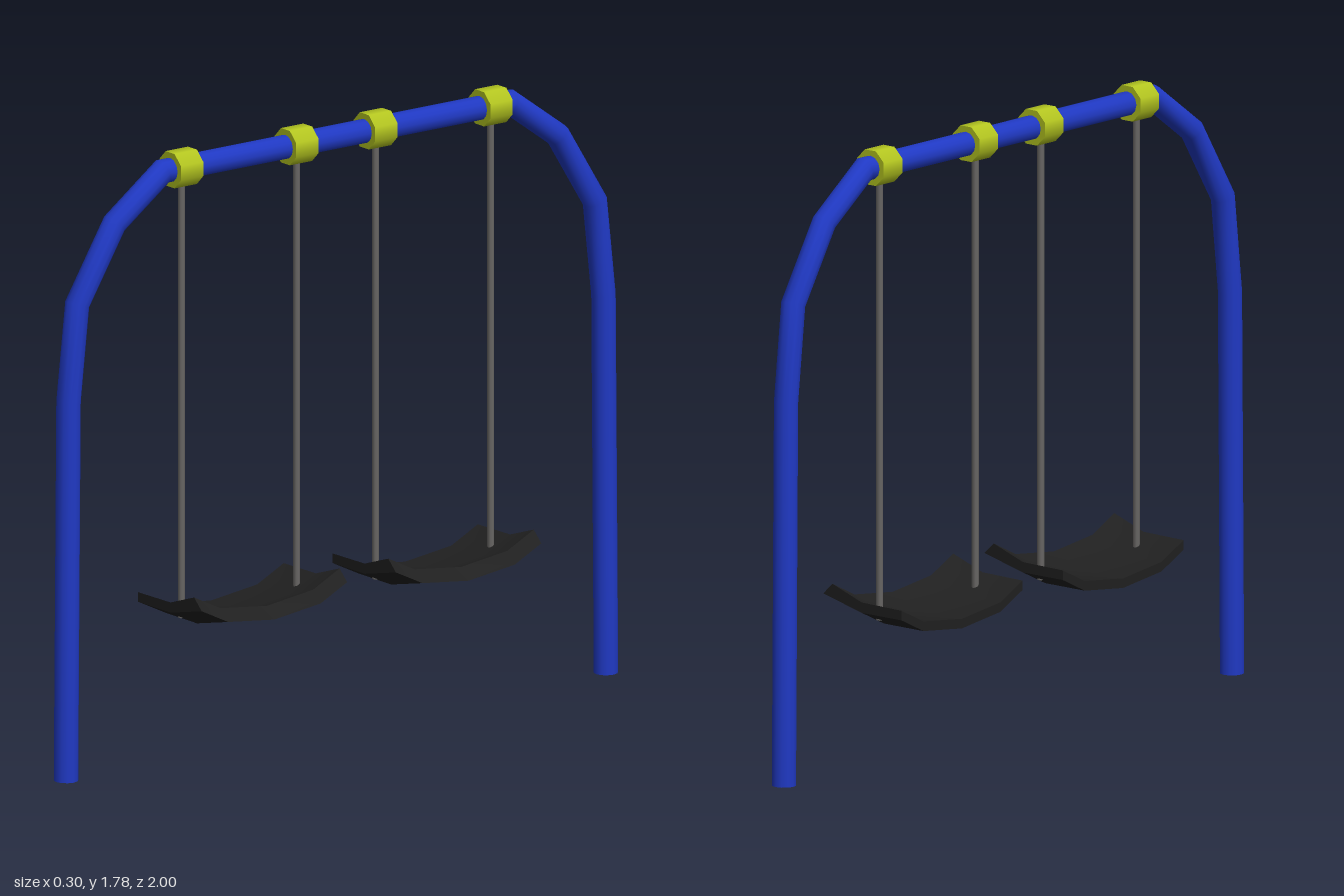
import * as THREE from 'three';
import { toCreasedNormals } from 'three/addons/utils/BufferGeometryUtils.js';

const POLE_X = -0.02;
const BAR_Y = 1.73;

const flat = (name, color) => {
  const m = new THREE.MeshStandardMaterial({ color });
  m.name = name;
  return m;
};

// Closed solid through equal-sized rings of points, counter-clockwise around the direction of travel.
function loft(rings, crease) {
  const n = rings[0].length;
  const last = (rings.length - 1) * n;
  const index = [];
  for (let i = 0; i < rings.length - 1; i++) {
    for (let j = 0; j < n; j++) {
      const k = (j + 1) % n;
      const a = i * n + j, b = i * n + k;
      index.push(a, b, b + n, a, b + n, a + n);
    }
  }
  for (let k = 1; k < n - 1; k++) {
    index.push(0, k + 1, k, last, last + k, last + k + 1);
  }
  const g = new THREE.BufferGeometry();
  g.setAttribute('position', new THREE.Float32BufferAttribute(rings.flat(2), 3));
  g.setIndex(index);
  return toCreasedNormals(g, crease);
}

// Round pipe with mitred bends along a path of [z, y] points.
function pipe(path, radius, sides) {
  const dir = (p, q) => new THREE.Vector2(q[0] - p[0], q[1] - p[1]).normalize();
  const rings = path.map((p, i) => {
    const before = i > 0 ? dir(path[i - 1], p) : dir(p, path[i + 1]);
    const after = i < path.length - 1 ? dir(p, path[i + 1]) : before;
    const t = before.clone().add(after).normalize();
    const stretch = 1 / t.dot(before);
    return Array.from({ length: sides }, (_, j) => {
      const a = (j / sides) * Math.PI * 2;
      const s = Math.sin(a) * radius * stretch;
      return [POLE_X + Math.cos(a) * radius, p[1] + s * t.x, p[0] - s * t.y];
    });
  });
  return loft(rings, 0.9);
}

// Sling seat: side profile with a raised front lip, sagging between its ends.
function seat() {
  const profile = [
    [0, 0.4], [-0.15, 0.398], [-0.15, 0.37],
    [0, 0.37], [0.145, 0.405], [0.11, 0.438],
  ];
  const sag = [[-0.26, 0.067], [-0.165, 0.02], [0, 0], [0.165, 0.02], [0.26, 0.067]];
  return loft(sag.map(([z, lift]) => profile.map(([x, y]) => [x, y + lift, z])), 0.7);
}

export function createModel() {
  const model = new THREE.Group();
  model.name = 'swingSet';

  const blue = flat('blue paint', 0x2039c4);
  const lime = flat('lime clamp', 0xb4c620);
  const grey = flat('grey chain', 0x686664);
  const black = flat('black rubber', 0x202020);

  const add = (parent, name, geometry, material, x = 0, y = 0, z = 0) => {
    const mesh = new THREE.Mesh(geometry, material);
    mesh.name = name;
    mesh.position.set(x, y, z);
    parent.add(mesh);
    return mesh;
  };

  // Arched frame: two legs bending into the top bar
  const half = [[0.965, 0], [0.956, 1.11], [0.925, 1.39], [0.792, 1.605], [0.62, BAR_Y]];
  const path = [...half, ...half.map(([z, y]) => [-z, y]).reverse()];
  add(model, 'frame', pipe(path, 0.035, 12), blue);

  // Shared parts of both swings
  const clampGeometry = new THREE.CylinderGeometry(0.0545, 0.0545, 0.08, 8, 1, false, Math.PI / 8);
  clampGeometry.rotateX(Math.PI / 2);
  const chainBottom = 0.41;
  const chainGeometry = new THREE.CylinderGeometry(0.01, 0.01, BAR_Y - chainBottom, 8);
  const seatGeometry = seat();

  for (const side of [1, -1]) {
    const swing = new THREE.Group();
    swing.name = side > 0 ? 'frontSwing' : 'backSwing';
    swing.position.z = side * 0.347;
    model.add(swing);

    add(swing, 'seat', seatGeometry, black);
    for (const end of [1, -1]) {
      add(swing, 'clamp', clampGeometry, lime, POLE_X, BAR_Y, end * 0.206);
      add(swing, 'chain', chainGeometry, grey, POLE_X, (BAR_Y + chainBottom) / 2, end * 0.206);
    }
  }

  return model;
}
